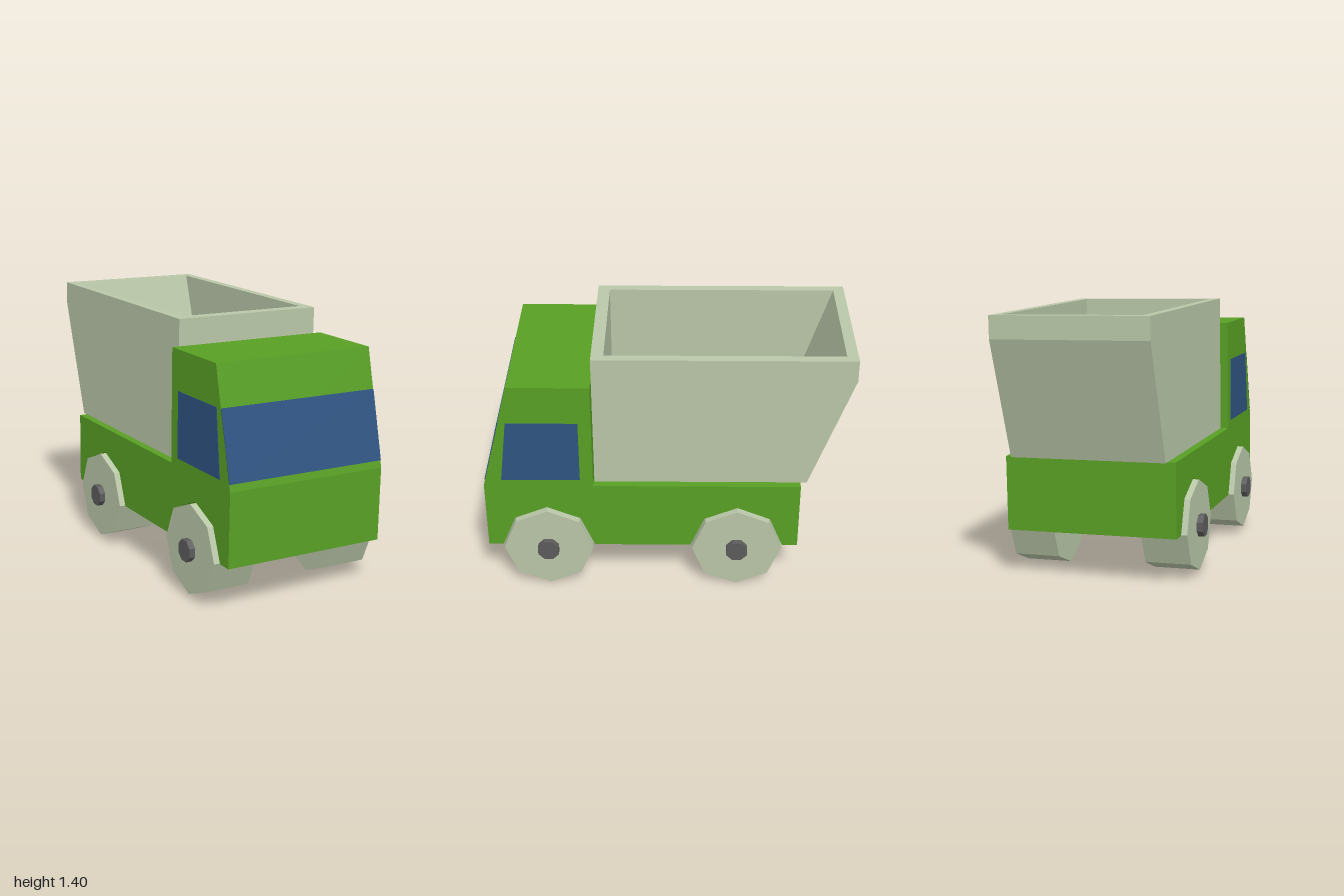
import * as THREE from 'three';

const mat = (name, color) => {
  const m = new THREE.MeshStandardMaterial({ color });
  m.name = name;
  return m;
};

// Side profile of [z, y] points extruded across x, from x0 to x1
function sideExtrude(points, x0, x1) {
  const shape = new THREE.Shape(points.map(([z, y]) => new THREE.Vector2(-z, y)));
  const geo = new THREE.ExtrudeGeometry(shape, { depth: x1 - x0, bevelEnabled: false });
  return geo.rotateY(Math.PI / 2).translate(x0, 0, 0);
}

// Eight-sided drum lying along x
function octagon(radius, length, turn) {
  return new THREE.CylinderGeometry(radius, radius, length, 8)
    .toNonIndexed().rotateY(turn).rotateZ(Math.PI / 2);
}

export function createModel() {
  const green = mat('green paint', 0x58a024);
  const pale = mat('pale grey green', 0xb9c7a8);
  const blue = mat('blue glass', 0x2e5482);
  const grey = mat('dark grey', 0x5c5c5c);
  pale.flatShading = grey.flatShading = true;

  const truck = new THREE.Group();
  truck.name = 'truck';
  const add = (name, geo, material) => {
    const mesh = new THREE.Mesh(geo, material);
    mesh.name = name;
    truck.add(mesh);
    return mesh;
  };

  const HALF = 0.457, AXLE_Y = 0.253, AXLES = [-0.383, 0.642];

  // Chassis and cab in one profile, with octagonal wheel arches
  const body = [[0.972, 0.644], [0.82, 1.252], [0.39, 1.252], [0.39, 0.644], [-0.716, 0.644], [-0.716, 0.252]];
  for (const z of AXLES) {
    for (let i = 0; i <= 4; i++) {
      const a = Math.PI - i * Math.PI / 4;
      body.push([z + 0.251 * Math.cos(a), 0.252 + 0.251 * Math.sin(a)]);
    }
  }
  body.push([0.972, 0.252]);
  add('cabAndChassis', sideExtrude(body, -HALF, HALF), green);

  // Windscreen plate on the slanted front
  const slant = (y) => 0.972 - (y - 0.644) * 0.25;
  add('windscreen', sideExtrude([
    [slant(0.682) + 0.004, 0.682], [slant(1.04) + 0.004, 1.04],
    [slant(1.04) - 0.002, 1.04], [slant(0.682) - 0.002, 0.682],
  ], -HALF, HALF), blue);

  // Side windows
  const pane = [[0.877, 0.684], [0.834, 1.038], [0.459, 1.038], [0.459, 0.684]];
  add('leftWindow', sideExtrude(pane, HALF - 0.002, HALF + 0.003), blue);
  add('rightWindow', sideExtrude(pane, -HALF - 0.003, -HALF + 0.002), blue);

  // Open tipper bin: two side walls and a channel for front, floor and tail
  const BIN = 0.415, WALL = 0.05;
  const outer = [[0.385, 1.392], [0.385, 0.645], [-0.75, 0.645], [-0.974, 1.273], [-0.974, 1.392]];
  const inner = [[-0.915, 1.392], [-0.69, 0.7], [0.32, 0.7], [0.32, 1.392]];
  add('binLeftWall', sideExtrude(outer, BIN - WALL, BIN), pale);
  add('binRightWall', sideExtrude(outer, -BIN, WALL - BIN), pale);
  add('binFloorAndEnds', sideExtrude([...outer, ...inner], WALL - BIN, BIN - WALL), pale);

  // Axles with a wheel at each end
  for (const z of AXLES) {
    const end = z > 0 ? 'front' : 'rear';
    add(end + 'Axle', octagon(0.061, 1.04, Math.PI / 8), grey).position.set(0, AXLE_Y, z);
    for (const side of [-1, 1]) {
      const wheel = add(end + (side > 0 ? 'Left' : 'Right') + 'Wheel', octagon(0.243, 0.247, 0), pale);
      wheel.position.set(side * 0.3635, AXLE_Y, z);
    }
  }

  // Slight turn and lean of the whole truck
  truck.rotation.set(0, 0.063, -0.0185, 'YXZ');
  truck.position.set(-0.013, 0, 0);

  const model = new THREE.Group();
  model.name = 'dumpTruck';
  model.add(truck);
  return model;
}
